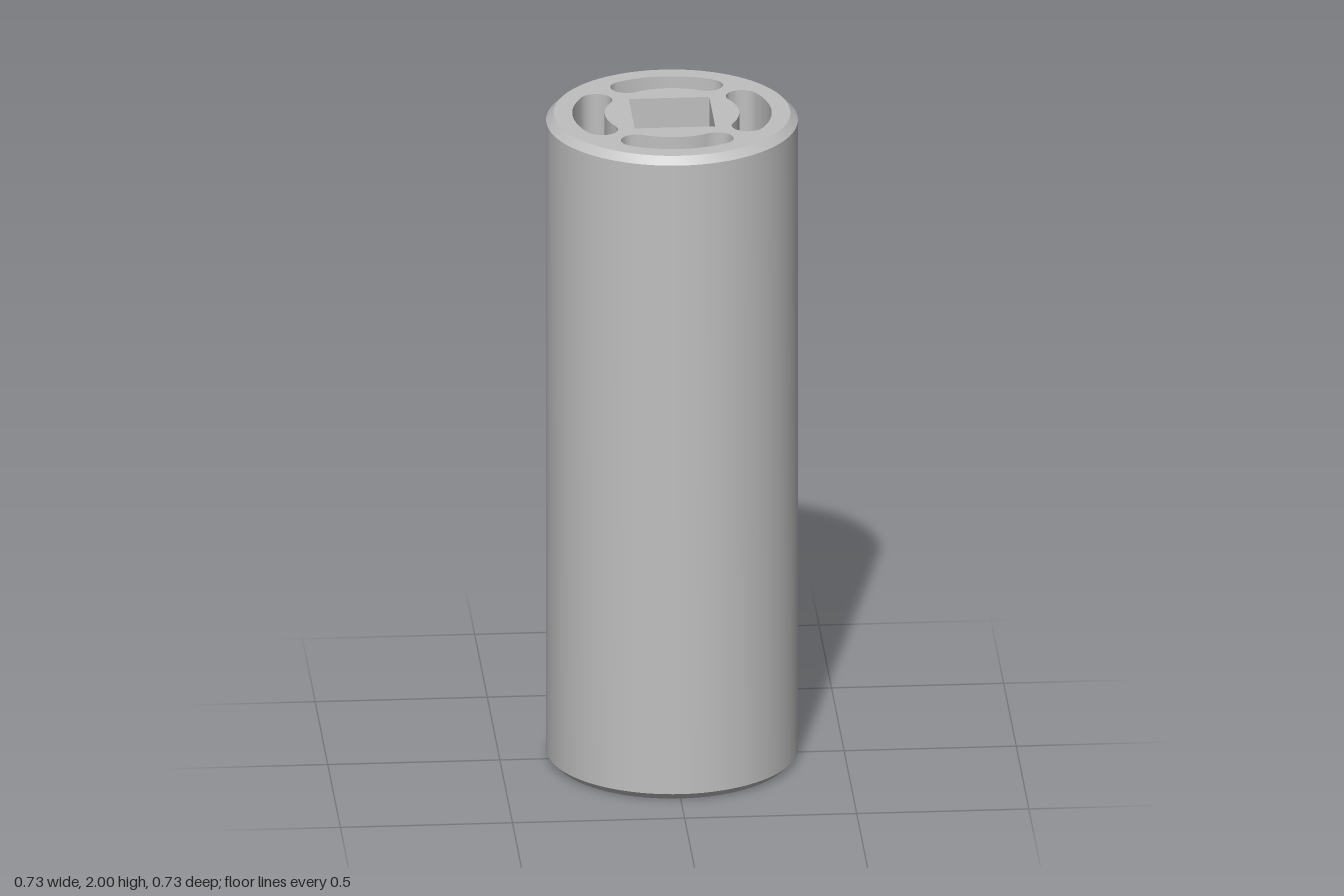
import * as THREE from 'three';
import { toCreasedNormals } from 'three/addons/utils/BufferGeometryUtils.js';

const HEIGHT = 2, RADIUS = 0.365, CHAMFER = 0.022, SEGMENTS = 96;
const SLOT_RADIUS = 0.242, SLOT_HALF_WIDTH = 0.047, SLOT_HALF_ANGLE = 0.503;
const SQUARE = 0.117;

// Points along an arc, leaving out the last one so that arcs can be chained
function arc(cx, cy, r, from, to, n) {
  return Array.from({ length: n }, (_, i) => {
    const t = from + ((to - from) * i) / n;
    return new THREE.Vector2(cx + r * Math.cos(t), cy + r * Math.sin(t));
  });
}

// Curved slot with round ends, centred on angle a
function slotLoop(a) {
  const s = a - SLOT_HALF_ANGLE, e = a + SLOT_HALF_ANGLE, R = SLOT_RADIUS, w = SLOT_HALF_WIDTH;
  return [
    ...arc(0, 0, R + w, s, e, 18),
    ...arc(R * Math.cos(e), R * Math.sin(e), w, e, e + Math.PI, 16),
    ...arc(0, 0, R - w, e, s, 18),
    ...arc(R * Math.cos(s), R * Math.sin(s), w, s + Math.PI, s + 2 * Math.PI, 16),
  ];
}

// Inward-facing wall of a through hole, from an anticlockwise loop
function holeWall(loop) {
  const pos = [];
  loop.forEach((p, i) => {
    const q = loop[(i + 1) % loop.length];
    pos.push(p.x, 0, -p.y, q.x, HEIGHT, -q.y, q.x, 0, -q.y);
    pos.push(p.x, 0, -p.y, p.x, HEIGHT, -p.y, q.x, HEIGHT, -q.y);
  });
  const g = new THREE.BufferGeometry();
  g.setAttribute('position', new THREE.Float32BufferAttribute(pos, 3));
  return toCreasedNormals(g, 0.5);
}

export function createModel() {
  const group = new THREE.Group();
  const grey = new THREE.MeshStandardMaterial({ color: 0xbfbfbf });
  grey.name = 'grey';
  const add = (name, geometry) => {
    const mesh = new THREE.Mesh(geometry, grey);
    mesh.name = name;
    group.add(mesh);
    return mesh;
  };

  // Outer cylinder with chamfered rims
  const profile = [
    [RADIUS - CHAMFER, 0], [RADIUS, CHAMFER],
    [RADIUS, HEIGHT - CHAMFER], [RADIUS - CHAMFER, HEIGHT],
  ].map(([x, y]) => new THREE.Vector2(x, y));
  add('outerShell', toCreasedNormals(new THREE.LatheGeometry(profile, SEGMENTS), 0.5));

  // Square bore and four curved slots, all running right through
  const square = [[1, 1], [-1, 1], [-1, -1], [1, -1]]
    .map(([x, y]) => new THREE.Vector2(x * SQUARE, y * SQUARE));
  const slots = [0, 1, 2, 3].map((i) => slotLoop((i * Math.PI) / 2));
  add('squareBore', holeWall(square));
  slots.forEach((loop, i) => add(`slotWall${i + 1}`, holeWall(loop)));

  // End faces
  const face = new THREE.Shape(arc(0, 0, RADIUS - CHAMFER, 0, 2 * Math.PI, SEGMENTS));
  face.holes = [square, ...slots].map((loop) => new THREE.Path(loop));
  add('topFace', new THREE.ShapeGeometry(face).rotateX(-Math.PI / 2)).position.y = HEIGHT;
  add('bottomFace', new THREE.ShapeGeometry(face).rotateX(Math.PI / 2));

  return group;
}
